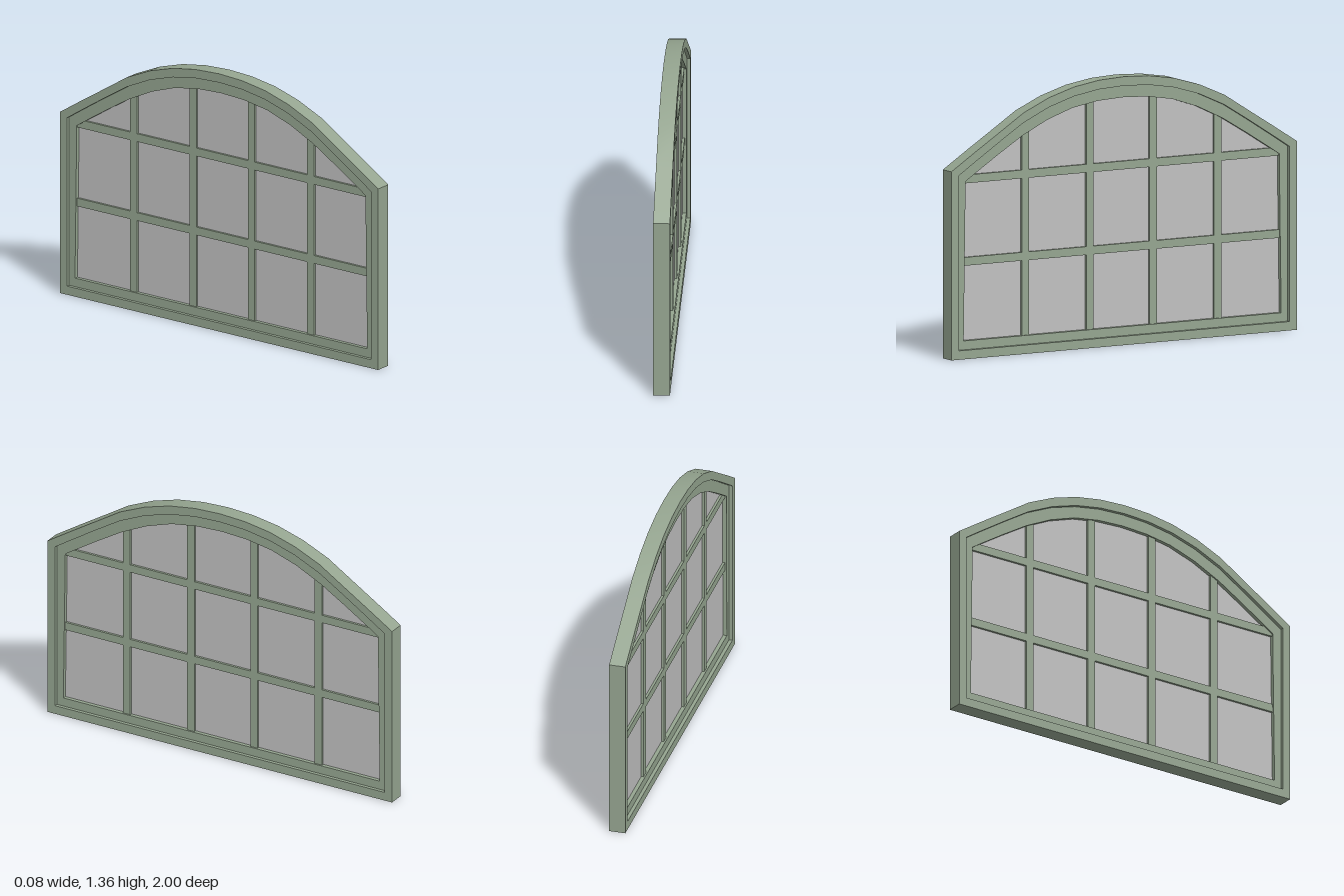
import * as THREE from 'three';
import { toCreasedNormals } from 'three/addons/utils/BufferGeometryUtils.js';

const paint = new THREE.MeshStandardMaterial({ color: 0x95a590 });
paint.name = 'sage green paint';
const pane = new THREE.MeshStandardMaterial({ color: 0xc0c0c0 });
pane.name = 'grey glass';

// Each half arch runs from the right springing point to the crown
const outer = [[1, 0.953], [0.86, 1.043], [0.72, 1.131], [0.58, 1.22], [0.435, 1.284], [0.29, 1.327], [0.145, 1.35], [0, 1.357]];
const middle = [[0.956, 0.93], [0.86, 0.993], [0.72, 1.083], [0.58, 1.17], [0.435, 1.236], [0.29, 1.28], [0.145, 1.304], [0, 1.311]];
const inner = [[0.907, 0.895], [0.86, 0.926], [0.72, 1.015], [0.58, 1.1], [0.435, 1.17], [0.29, 1.219], [0.145, 1.243], [0, 1.25]];

// Closed outline: two bottom corners plus the mirrored arch
function outline(arch, halfBottom, bottom) {
  const left = arch.slice(0, -1).reverse().map(([x, y]) => [-x, y]);
  return [[-halfBottom, bottom], [halfBottom, bottom], ...arch, ...left]
    .map(([x, y]) => new THREE.Vector2(x, y));
}

// Extrude an outline through the wall thickness, facing the x axis
function slab(name, points, hole, depth, material) {
  const shape = new THREE.Shape(points);
  if (hole) shape.holes.push(new THREE.Path(hole));
  let geometry = new THREE.ExtrudeGeometry(shape, { depth, bevelEnabled: false });
  geometry.translate(0, 0, -depth / 2).rotateY(Math.PI / 2);
  geometry = toCreasedNormals(geometry, 0.4);
  const mesh = new THREE.Mesh(geometry, material);
  mesh.name = name;
  return mesh;
}

// Height of the arched opening at a given distance from the centre
function openingHeight(d) {
  const i = inner.findIndex(([x]) => x <= d);
  const [x0, y0] = inner[i - 1], [x1, y1] = inner[i];
  return y0 + (y1 - y0) * (x0 - d) / (x0 - x1);
}

export function createModel() {
  const window = new THREE.Group();
  window.name = 'archedWindow';

  const outerLine = outline(outer, 1, 0);
  const middleLine = outline(middle, 0.956, 0.045);
  const innerLine = outline(inner, 0.918, 0.09);

  // Deep frame, recessed sash and glass
  window.add(slab('outerFrame', outerLine, middleLine, 0.084, paint));
  window.add(slab('sash', middleLine, innerLine, 0.048, paint));
  window.add(slab('glass', innerLine, null, 0.008, pane));

  const barWidth = 0.042, barDepth = 0.032;
  function bar(name, height, length, y, z) {
    const mesh = new THREE.Mesh(new THREE.BoxGeometry(barDepth, height, length), paint);
    mesh.name = name;
    mesh.position.set(0, y, z);
    window.add(mesh);
  }

  // Upright glazing bars, ending inside the sash
  for (const z of [-0.556, -0.183, 0.183, 0.556]) {
    const top = openingHeight(Math.abs(z)) + 0.03, base = 0.07;
    bar('uprightBar', top - base, barWidth, (top + base) / 2, z);
  }
  // Level glazing bars
  bar('lowerCrossBar', barWidth, 1.86, 0.489, 0);
  bar('upperCrossBar', barWidth, 1.82, 0.905, 0);

  return window;
}
